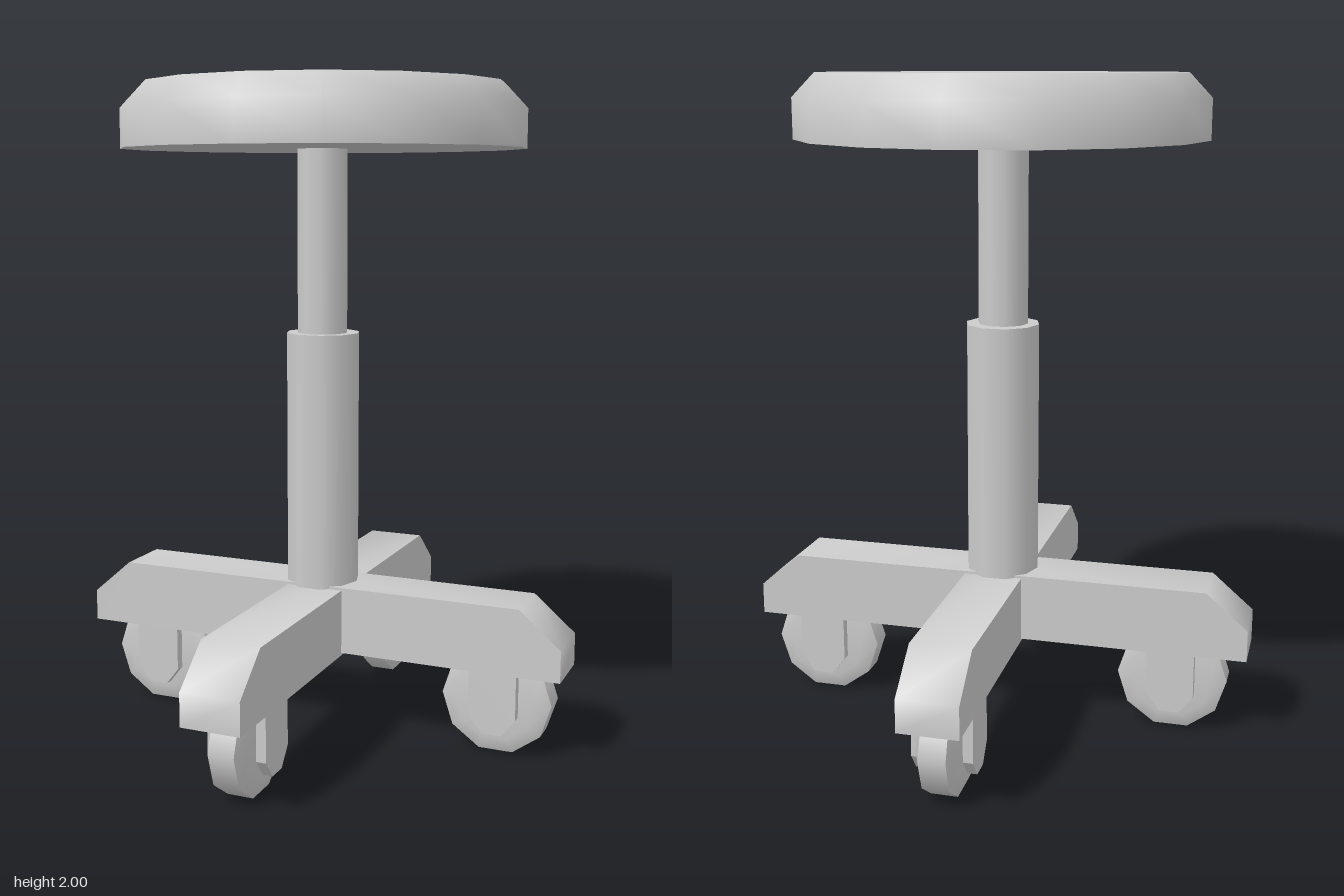
import * as THREE from 'three';
import { toCreasedNormals } from 'three/addons/utils/BufferGeometryUtils.js';

const material = new THREE.MeshStandardMaterial({ color: 0xcccccc });

function add(parent, name, geometry, x = 0, y = 0, z = 0) {
  const mesh = new THREE.Mesh(geometry, material);
  mesh.name = name;
  mesh.position.set(x, y, z);
  parent.add(mesh);
  return mesh;
}

// Smooth band turned about the y axis
function band(points, sides) {
  return new THREE.LatheGeometry(points.map(([r, y]) => new THREE.Vector2(r, y)), sides);
}

// Flat profile in x/y, extruded to be centred on z = 0
function slab(points, depth) {
  const shape = new THREE.Shape(points.map(([x, y]) => new THREE.Vector2(x, y)));
  const geometry = new THREE.ExtrudeGeometry(shape, { depth, bevelEnabled: false });
  return geometry.translate(0, 0, -depth / 2);
}

// Decagonal wheel with chamfered shoulders, its axle along z
function createWheel() {
  const wheel = new THREE.Group();
  wheel.name = 'wheel';
  const radius = 0.17, tread = 0.04, hub = 0.122, half = 0.061;
  add(wheel, 'tread', band([[radius, -tread], [radius, tread]], 10));
  add(wheel, 'lowerShoulder', band([[0, -half], [hub, -half], [radius, -tread]], 10));
  add(wheel, 'upperShoulder', band([[radius, tread], [hub, half], [0, half]], 10));
  // Turn the axle to z and put vertices on the horizontal diameter
  wheel.rotation.set(Math.PI / 2, Math.PI / 2, 0, 'XYZ');
  wheel.children.forEach((part) => part.geometry.rotateY(Math.PI / 2));
  wheel.rotation.set(Math.PI / 2, 0, 0);
  return wheel;
}

// Straight beam along x with sloped ends and a caster under each end
function createBeam() {
  const beam = new THREE.Group();
  const bottom = 0.264, shoulder = 0.363, top = 0.473, width = 0.182;
  const profile = [
    [-0.788, bottom], [0.788, bottom], [0.788, shoulder],
    [0.66, top], [-0.66, top], [-0.788, shoulder],
  ];
  add(beam, 'beam', toCreasedNormals(slab(profile, width), THREE.MathUtils.degToRad(55)));

  const plate = [
    [-0.073, bottom], [-0.073, 0.128], [-0.03, 0.073],
    [0.03, 0.073], [0.073, 0.128], [0.073, bottom],
  ];
  for (const x of [-0.557, 0.583]) {
    const caster = new THREE.Group();
    caster.name = 'caster';
    caster.position.x = x;
    for (const side of [-1, 1]) {
      add(caster, 'forkPlate', slab(plate, 0.03), 0, 0, side * (width / 2 - 0.015));
    }
    const wheel = createWheel();
    wheel.position.y = 0.169;
    caster.add(wheel);
    beam.add(caster);
  }
  return beam;
}

export function createModel() {
  const stool = new THREE.Group();
  stool.name = 'stool';

  // Crossed base
  const sideBeam = createBeam();
  sideBeam.name = 'sideBeam';
  sideBeam.position.z = -0.01;
  const frontBeam = createBeam();
  frontBeam.name = 'frontBeam';
  frontBeam.rotation.y = Math.PI / 2;
  frontBeam.position.set(0.006, -0.008, 0);
  stool.add(sideBeam, frontBeam);

  // Telescoping column
  const column = (r, y0, y1) =>
    new THREE.CylinderGeometry(r, r, y1 - y0, 10).rotateY(Math.PI / 2).translate(0, (y0 + y1) / 2, 0);
  add(stool, 'outerColumn', column(0.114, 0.46, 1.255), -0.003, 0, -0.011);
  add(stool, 'innerColumn', column(0.078, 1.2, 1.815), -0.003, 0, -0.006);

  // Seat cushion with a bevelled upper edge
  const seat = new THREE.Group();
  seat.name = 'seat';
  seat.position.set(-0.003, 0, -0.013);
  add(seat, 'seatSide', band([[0.615, 1.81], [0.615, 1.93], [0.548, 2]], 16));
  add(seat, 'seatTop', new THREE.CircleGeometry(0.548, 16).rotateX(-Math.PI / 2), 0, 2, 0);
  add(seat, 'seatBottom', new THREE.CircleGeometry(0.615, 16).rotateX(Math.PI / 2), 0, 1.81, 0);
  stool.add(seat);

  return stool;
}
